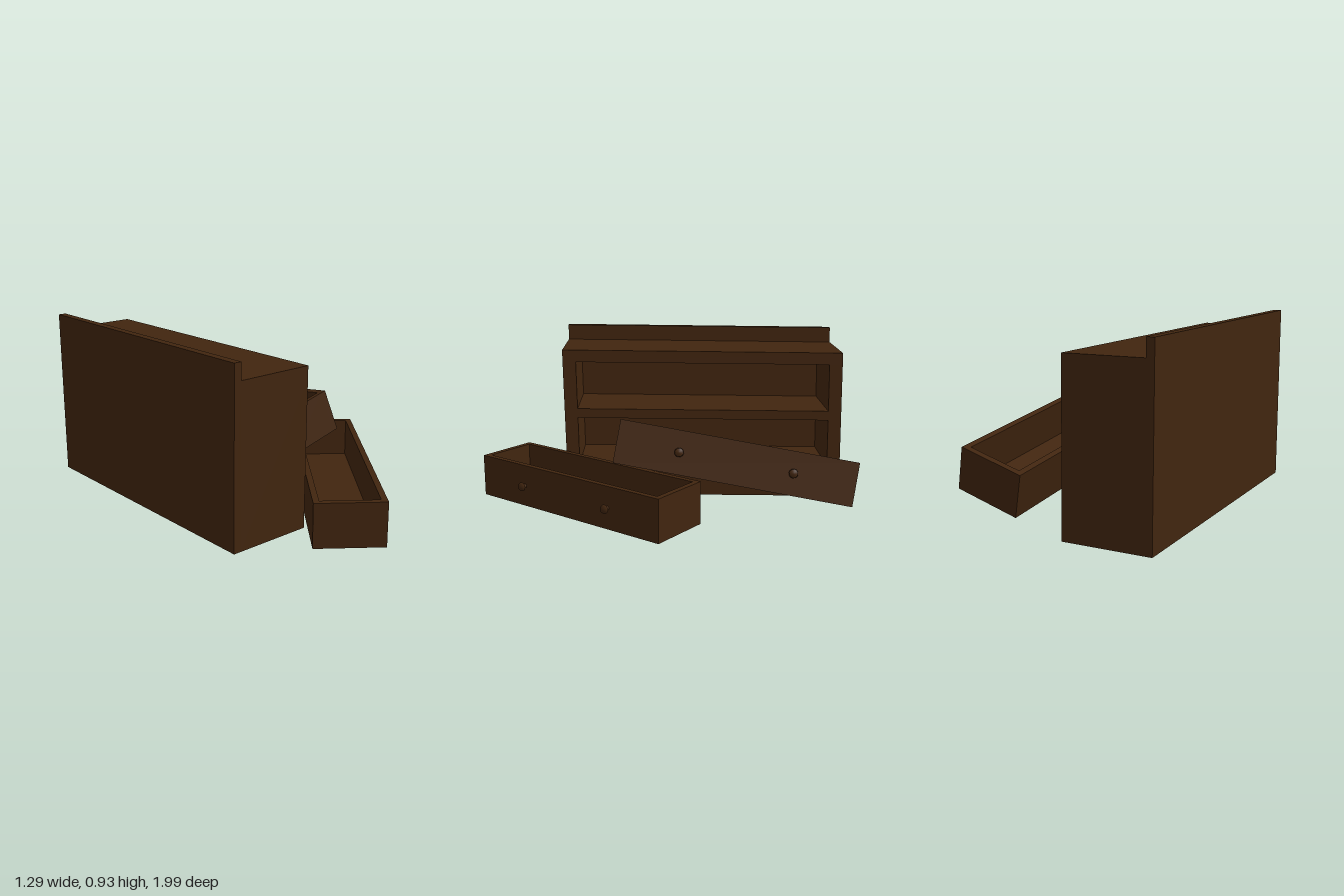
import * as THREE from 'three';

const wood = new THREE.MeshStandardMaterial({ color: 0x41250f });
wood.name = 'dark brown wood';

// box from min / max corners
function board(parent, name, x0, x1, y0, y1, z0, z1) {
  const g = new THREE.BoxGeometry(x1 - x0, y1 - y0, z1 - z0);
  g.translate((x0 + x1) / 2, (y0 + y1) / 2, (z0 + z1) / 2);
  const m = new THREE.Mesh(g, wood);
  m.name = name;
  parent.add(m);
  return m;
}

// cabinet with two empty drawer bays, open towards +x and hollow underneath
function makeCabinet() {
  const cabinet = new THREE.Group();
  cabinet.name = 'cabinet';
  const back = -0.65, inner = -0.61, front = -0.21;
  const z0 = -0.997, z1 = 0.542, side = 0.072, top = 0.823;

  board(cabinet, 'backBoard', back, inner, 0, 0.908, z0, z1);
  board(cabinet, 'topBoard', inner, front, 0.757, top, z0, z1);
  board(cabinet, 'leftSide', inner, front, 0, 0.757, z1 - side, z1);
  board(cabinet, 'rightSide', inner, front, 0, 0.757, z0, z0 + side);
  board(cabinet, 'middleShelf', inner, front, 0.443, 0.495, z0 + side, z1 - side);
  board(cabinet, 'bayFloor', inner, front - 0.04, 0.14, 0.18, z0 + side, z1 - side);
  board(cabinet, 'bottomRail', front - 0.04, front, 0, 0.18, z0 + side, z1 - side);

  // the old cabinet leans slightly out of square
  const lean = new THREE.Matrix4().set(
    1, 0, 0, 0,
    0, 1, 0.0125, 0.0135,
    0, 0.017, 1, 0,
    0, 0, 0, 1);
  cabinet.children.forEach((m) => {
    m.geometry.applyMatrix4(lean);
    m.geometry = m.geometry.toNonIndexed();
    m.geometry.computeVertexNormals();
  });
  return cabinet;
}

// open drawer, centred on its origin, with its front facing local +z
function makeDrawer(name) {
  const drawer = new THREE.Group();
  drawer.name = name;
  const L = 0.61, H = 0.1125, D = 0.172, t = 0.03;

  board(drawer, 'drawerFloor', -L + t, L - t, -H, -H + 0.022, -D + t, D - t);
  board(drawer, 'drawerFront', -L, L, -H, H, D - t, D);
  board(drawer, 'drawerBack', -L, L, -H, H, -D, -D + t);
  for (const s of [-1, 1]) {
    const a = s * L, b = s * (L - t);
    board(drawer, 'drawerSide', Math.min(a, b), Math.max(a, b), -H, H, -D + t, D - t);
  }

  // flared knobs
  const profile = [[0.011, 0], [0.011, 0.012], [0.024, 0.022], [0.02, 0.033], [0, 0.036]]
    .map(([r, y]) => new THREE.Vector2(r, y));
  const knobGeometry = new THREE.LatheGeometry(profile, 12);
  knobGeometry.rotateX(Math.PI / 2);
  for (const s of [-1, 1]) {
    const knob = new THREE.Mesh(knobGeometry, wood);
    knob.name = 'knob';
    knob.position.set(s * 0.29, 0, D);
    drawer.add(knob);
  }
  return drawer;
}

export function createModel() {
  const model = new THREE.Group();
  model.name = 'brokenDresser';
  model.add(makeCabinet());

  // drawer lying level
  const lower = makeDrawer('lowerDrawer');
  lower.position.set(0.13, 0.1625, 0.405);
  lower.rotation.y = 0.907;
  model.add(lower);

  // drawer tipped against the first
  const upper = makeDrawer('tippedDrawer');
  const along = new THREE.Vector3(0.1, -0.205, -1.205).normalize();
  const facing = new THREE.Vector3(0.335, 0.095, 0.02);
  const up = facing.clone().cross(along).normalize();
  facing.crossVectors(along, up);
  upper.quaternion.setFromRotationMatrix(new THREE.Matrix4().makeBasis(along, up, facing));
  upper.position.set(0.1525, 0.309, -0.365);
  model.add(upper);

  return model;
}
